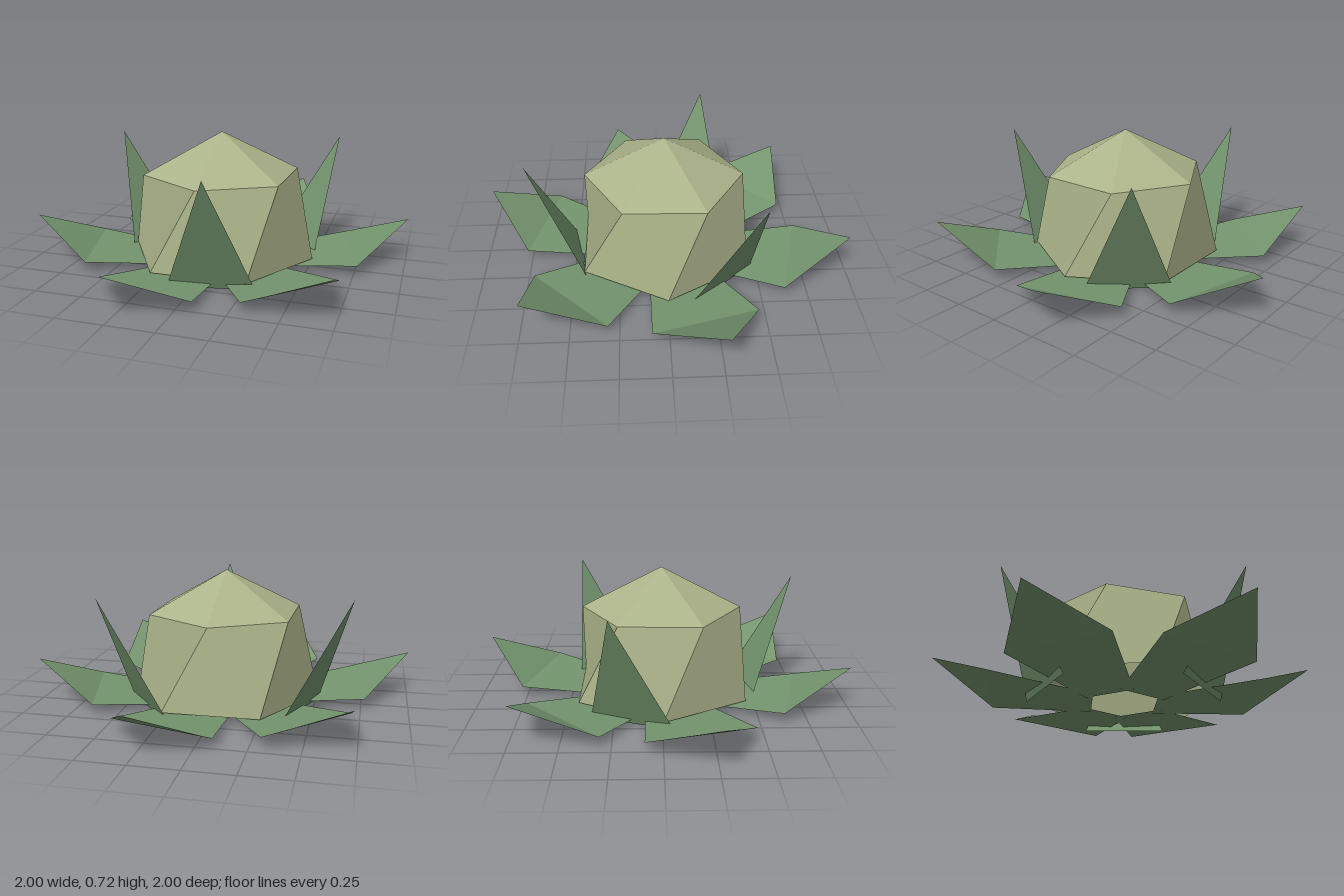
import * as THREE from 'three';

const rad = THREE.MathUtils.degToRad;

const leafMat = new THREE.MeshStandardMaterial({ color: 0x75966f, side: THREE.DoubleSide, flatShading: true });
const headMat = new THREE.MeshStandardMaterial({ color: 0xacb48a, side: THREE.DoubleSide });

// Small panel from corner points and triangles
function panel(name, points, index, material) {
  const geo = new THREE.BufferGeometry().setFromPoints(points.map(p => new THREE.Vector3(...p)));
  geo.setIndex(index);
  geo.computeVertexNormals();
  const mesh = new THREE.Mesh(geo, material);
  mesh.name = name;
  return mesh;
}

// Give a twisted panel one average normal so it shades as a single facet
function shadeAsOneFacet(mesh) {
  const normals = mesh.geometry.attributes.normal;
  const mean = new THREE.Vector3();
  for (let i = 0; i < normals.count; i++) mean.add(new THREE.Vector3().fromBufferAttribute(normals, i));
  mean.normalize();
  for (let i = 0; i < normals.count; i++) normals.setXYZ(i, mean.x, mean.y, mean.z);
  return mesh;
}

// Point on a ring, angle measured from +x towards +z
const polar = (r, y, deg) => [r * Math.cos(rad(deg)), y, r * Math.sin(rad(deg))];

export function createModel() {
  const model = new THREE.Group();
  model.name = 'succulentPlant';

  // Domed head: six twisted side panels and six roof panels, open underneath
  const head = new THREE.Group();
  head.name = 'head';
  const top = a => polar(0.432, 0.497, a + 31.5);
  const bottom = a => polar(0.515, 0.04, a + 59.5);
  for (let a = 0; a < 360; a += 60) {
    const corners = [top(a), top(a + 60), bottom(a + 60), bottom(a)];
    head.add(shadeAsOneFacet(panel('headSide', corners, [0, 2, 3, 0, 1, 2].reverse(), headMat)));
    head.add(panel('headRoof', [top(a), top(a + 60), [0, 0.72, 0]], [0, 2, 1], headMat));
  }
  // Side corners run anticlockwise seen from outside once reversed
  model.add(head);

  // Low outer leaves: tapered blade with an upturned tip, drawn along +x
  for (let i = 0; i < 6; i++) {
    const leaf = panel('outerLeaf', [
      [0.17, 0, -0.138], [0.17, 0, 0.138],
      [0.72, 0.06, 0.285], [0.72, 0.06, -0.285],
      [1.035, 0.233, 0],
    ], [0, 1, 2, 0, 2, 3, 3, 2, 4], leafMat);
    leaf.rotation.y = -rad(45 + i * 60);
    model.add(leaf);
  }

  // Three tall pointed leaves leaning outward
  for (let i = 0; i < 3; i++) {
    const leaf = panel('tallLeaf',
      [[0.463, 0, -0.227], [0.463, 0, 0.227], [0.745, 0.635, 0]], [0, 1, 2], leafMat);
    leaf.rotation.y = -rad(80 + i * 120);
    model.add(leaf);
  }
  return model;
}
